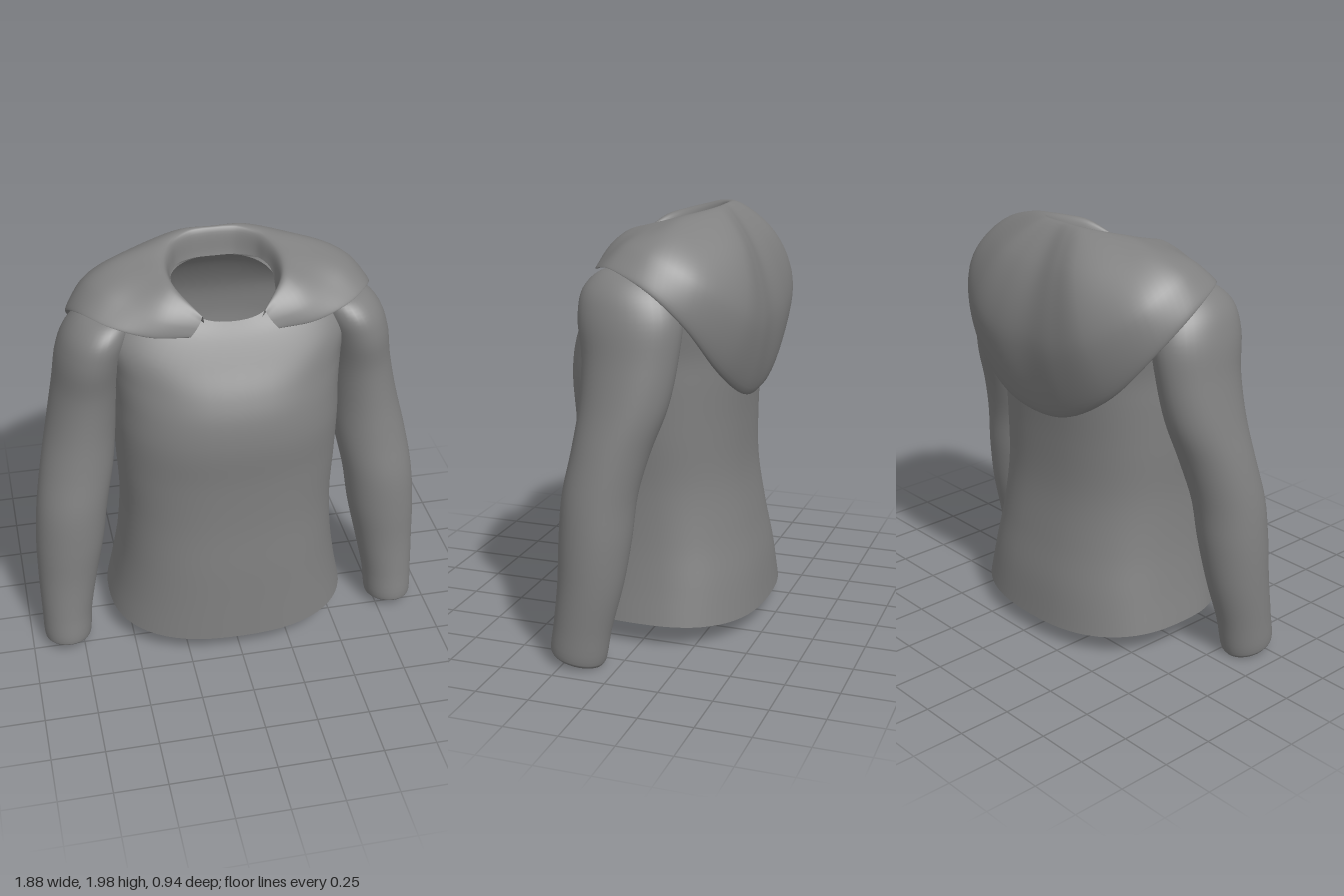
import * as THREE from 'three';

const cloth = new THREE.MeshStandardMaterial({ color: 0x808080, side: THREE.DoubleSide });
cloth.name = 'grey cloth';

const V = (x, y, z) => new THREE.Vector3(x, y, z);

// Smooth surface through columns of points; a closed surface wraps round
function surface(name, columns, closed, nAcross, nAlong) {
  const lines = columns.map(c => new THREE.CatmullRomCurve3(c).getPoints(nAlong));
  const stride = closed ? nAcross : nAcross + 1;
  const pos = [], index = [];
  for (let j = 0; j <= nAlong; j++) {
    const ring = new THREE.CatmullRomCurve3(lines.map(l => l[j]), closed);
    for (let i = 0; i < stride; i++) pos.push(...ring.getPoint(i / nAcross).toArray());
  }
  for (let j = 0; j < nAlong; j++) {
    for (let i = 0; i < nAcross; i++) {
      const a = j * stride + i, b = j * stride + (i + 1) % stride;
      index.push(a, a + stride, b, b, a + stride, b + stride);
    }
  }
  const g = new THREE.BufferGeometry();
  g.setAttribute('position', new THREE.Float32BufferAttribute(pos, 3));
  g.setIndex(index);
  g.computeVertexNormals();
  const mesh = new THREE.Mesh(g, cloth);
  mesh.name = name;
  return mesh;
}

// Columns of a tube: place(row, cos, sin) gives a point on each ring
function tubeColumns(rows, place, power, count = 32) {
  const soft = v => Math.sign(v) * Math.abs(v) ** power;
  return Array.from({ length: count }, (_, i) => {
    const a = i / count * Math.PI * 2;
    return rows.map(r => place(r, soft(Math.cos(a)), soft(Math.sin(a))));
  });
}

const mirror = p => V(-p.x, p.y, p.z);

function createTorso() {
  // half width, front z, back z, then y at front, side and back
  const rows = [
    [0.59, 0.47, -0.465, 0.115, 0.13, 0.10],
    [0.555, 0.465, -0.44, 0.3, 0.3, 0.3],
    [0.525, 0.46, -0.40, 0.5, 0.5, 0.5],
    [0.51, 0.45, -0.36, 0.75, 0.75, 0.75],
    [0.52, 0.455, -0.355, 1.0, 1.0, 1.0],
    [0.525, 0.47, -0.365, 1.22, 1.22, 1.22],
    [0.525, 0.455, -0.37, 1.35, 1.37, 1.35],
    [0.54, 0.415, -0.38, 1.46, 1.52, 1.48],
    [0.56, 0.35, -0.36, 1.58, 1.71, 1.62],
    [0.42, 0.285, -0.27, 1.695, 1.82, 1.79],
    [0.24, 0.24, -0.19, 1.765, 1.84, 1.87],
  ];
  const place = ([w, f, b, yf, ys, yb], c, s) =>
    V(w * c, ys + ((s > 0 ? yf : yb) - ys) * s * s, (f + b) / 2 + (f - b) / 2 * s);
  return surface('torso', tubeColumns(rows, place, 0.82), true, 64, 60);
}

function createSleeve(side) {
  // height, inner x, outer x, back z, front z
  const rows = [
    [0.04, 0.725, 0.925, 0.08, 0.31],
    [0.055, 0.712, 0.935, 0.068, 0.32],
    [0.2, 0.695, 0.94, 0.04, 0.305],
    [0.4, 0.655, 0.942, -0.01, 0.29],
    [0.6, 0.612, 0.938, -0.04, 0.288],
    [0.8, 0.582, 0.92, -0.06, 0.278],
    [1.0, 0.54, 0.885, -0.11, 0.245],
    [1.2, 0.515, 0.84, -0.18, 0.222],
    [1.4, 0.49, 0.80, -0.215, 0.222],
    [1.58, 0.46, 0.77, -0.225, 0.25],
    [1.69, 0.43, 0.725, -0.185, 0.24],
    [1.76, 0.42, 0.655, -0.11, 0.18],
    [1.785, 0.48, 0.56, 0.0, 0.08],
  ];
  const place = ([y, x0, x1, z0, z1], c, s) => V(
    (x0 + x1) / 2 + (x1 - x0) / 2 * c,
    y + 0.025 * s * Math.max(0, 1 - y * 2),
    (z0 + z1) / 2 + (z1 - z0) / 2 * s);
  let columns = tubeColumns(rows, place, 1, 24);
  if (side < 0) columns = columns.map(c => c.map(mirror)).reverse();
  return surface(side > 0 ? 'leftSleeve' : 'rightSleeve', columns, true, 36, 60);
}

function createHood() {
  // each profile runs from the inner collar over the rim to the outer edge,
  // ordered from the front opening round to the centre back
  const half = [
    [[0.13, 1.77, 0.24], [0.14, 1.81, 0.25], [0.15, 1.79, 0.26], [0.17, 1.76, 0.27], [0.2, 1.725, 0.275]],
    [[0.21, 1.8, 0.14], [0.24, 1.9, 0.14], [0.29, 1.87, 0.19], [0.33, 1.805, 0.24], [0.37, 1.735, 0.26]],
    [[0.23, 1.83, 0.05], [0.265, 1.93, 0.04], [0.37, 1.905, 0.09], [0.46, 1.845, 0.15], [0.54, 1.77, 0.195]],
    [[0.23, 1.86, -0.03], [0.26, 1.95, -0.04], [0.42, 1.93, -0.01], [0.56, 1.875, 0.05], [0.65, 1.79, 0.09]],
    [[0.21, 1.87, -0.09], [0.235, 1.97, -0.11], [0.45, 1.94, -0.12], [0.62, 1.85, -0.1], [0.705, 1.71, -0.1]],
    [[0.18, 1.87, -0.14], [0.2, 1.985, -0.16], [0.42, 1.9, -0.24], [0.59, 1.74, -0.29], [0.65, 1.56, -0.245]],
    [[0.1, 1.87, -0.18], [0.12, 1.998, -0.21], [0.26, 1.85, -0.38], [0.4, 1.58, -0.445], [0.46, 1.32, -0.345]],
    [[0.05, 1.87, -0.185], [0.06, 2.0, -0.22], [0.13, 1.83, -0.385], [0.2, 1.5, -0.47], [0.22, 1.17, -0.385]],
    [[0, 1.87, -0.185], [0, 2.0, -0.22], [0, 1.81, -0.375], [0, 1.5, -0.46], [0, 1.13, -0.385]],
  ].map(col => {
    const pts = col.map(p => V(...p));
    const e = pts[4];
    pts.push(V(e.x * 0.96, e.y + 0.01, e.z * 0.93)); // turned-under hem
    return pts;
  });
  const other = half.slice(0, -1).reverse().map(c => c.map(mirror));
  return surface('loweredHood', [...half, ...other], false, 96, 50);
}

export function createModel() {
  const model = new THREE.Group();
  model.name = 'hoodedTop';
  model.add(createTorso(), createSleeve(1), createSleeve(-1), createHood());
  return model;
}
